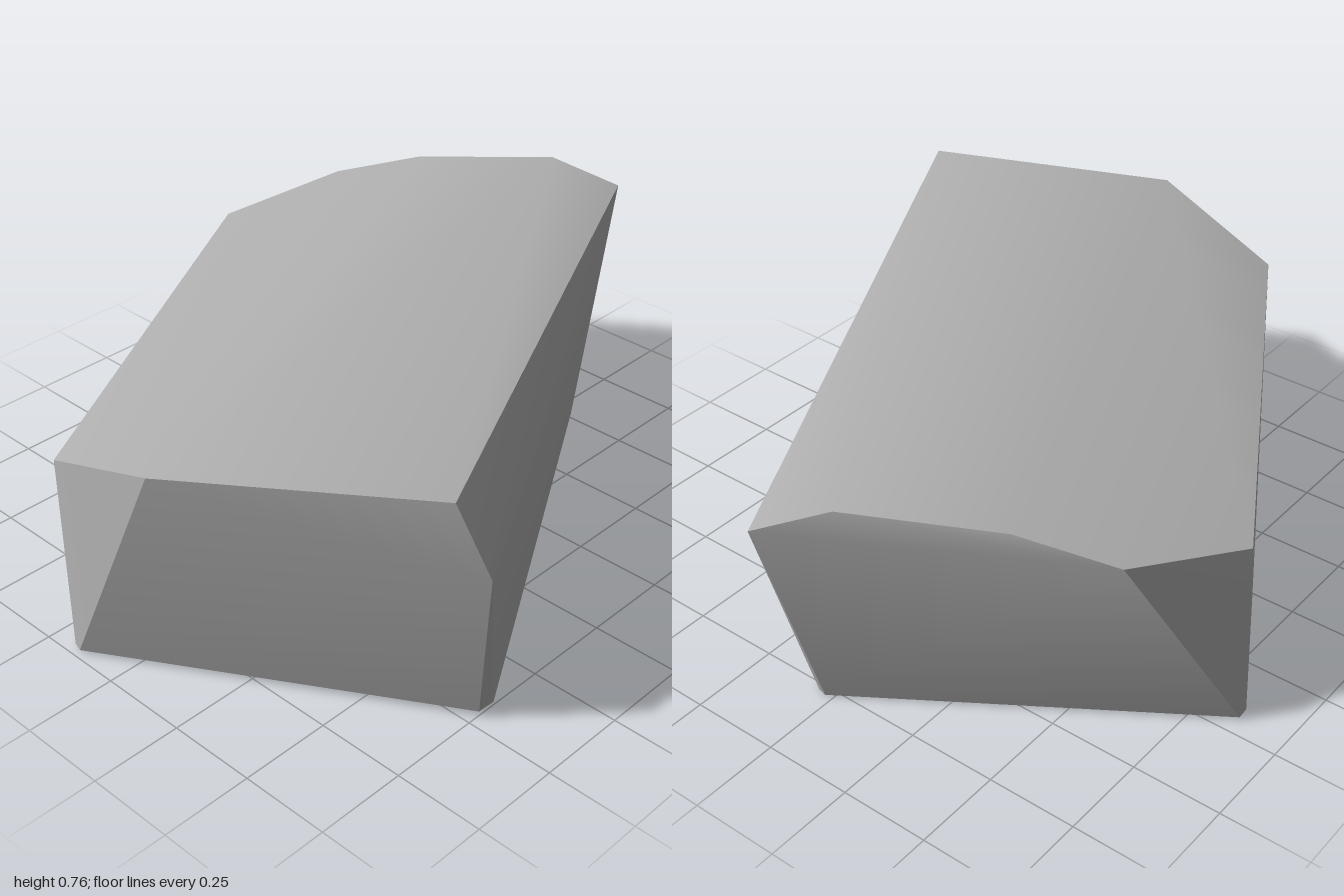
import * as THREE from 'three';
import { ConvexGeometry } from 'three/addons/geometries/ConvexGeometry.js';
import { toCreasedNormals } from 'three/addons/utils/BufferGeometryUtils.js';

export function createModel() {
  const group = new THREE.Group();
  group.name = 'stoneBlock';

  const stone = new THREE.MeshStandardMaterial({ color: 0xb0b0b0 });
  stone.name = 'stone grey';

  // Footprint corners
  const base = [
    [-0.865, 0.01, -0.2], [-0.86, 0.005, -0.16],
    [-0.17, 0.01, 0.975], [-0.14, 0.01, 0.985],
    [0.755, 0.02, 0.47], [0.75, 0.01, 0.41],
    [0.05, 0, -0.77], [0.02, 0.005, -0.78],
  ];

  // Bulges on the sides
  const sides = [
    [0.88, 0.55, 0.59], [-0.88, 0.42, -0.22],
  ];

  // Worn upper rim, sloping down to the right
  const rim = [
    [-0.87, 0.565, -0.22], [-0.18, 0.565, 0.97],
    [0.21, 0.71, 1], [0.82, 0.76, 0.65],
    [0, 0.675, -1], [-0.17, 0.748, -0.895],
    [-0.51, 0.715, -0.68], [-0.73, 0.64, -0.55],
  ];

  // One convex rock, with sharp main edges and softened shallow ones
  const points = [...base, ...sides, ...rim].map((p) => new THREE.Vector3(...p));
  const rock = new THREE.Mesh(toCreasedNormals(new ConvexGeometry(points), 0.55), stone);
  rock.name = 'rock';
  group.add(rock);

  return group;
}
